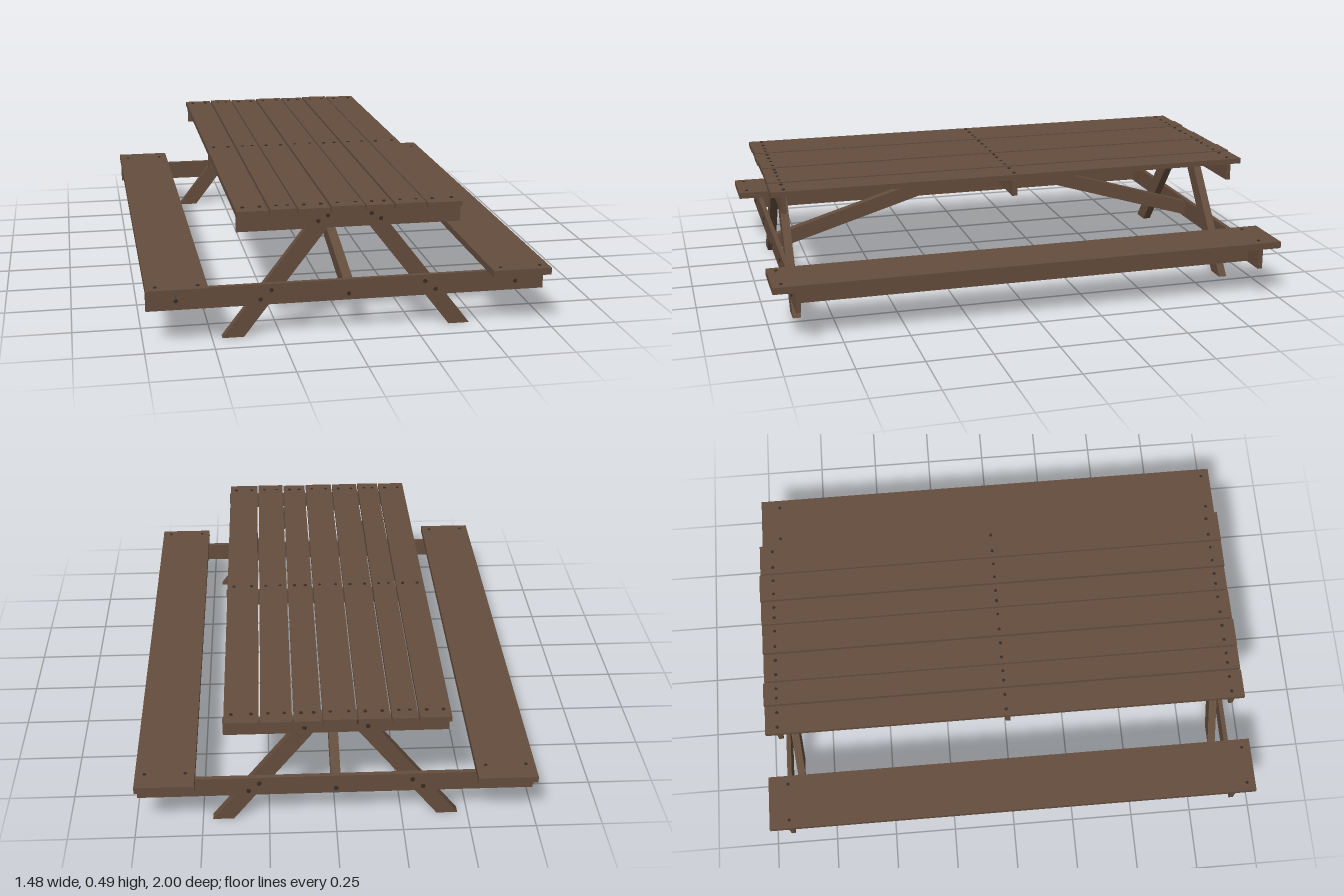
import * as THREE from 'three';

export function createModel() {
  const model = new THREE.Group();
  const wood = new THREE.MeshStandardMaterial({ name: 'brown wood', color: 0x644d3d });
  const iron = new THREE.MeshStandardMaterial({ name: 'dark nail heads', color: 0x3a2c23 });

  function add(name, geometry, material = wood) {
    const mesh = new THREE.Mesh(geometry, material);
    mesh.name = name;
    model.add(mesh);
    return mesh;
  }

  // Box given by its limits on each axis
  function board(name, x0, x1, y0, y1, z0, z1) {
    add(name, new THREE.BoxGeometry(x1 - x0, y1 - y0, z1 - z0))
      .position.set((x0 + x1) / 2, (y0 + y1) / 2, (z0 + z1) / 2);
  }

  // Flat outline extruded along z from zero
  function slab(points, depth) {
    const shape = new THREE.Shape(points.map(([x, y]) => new THREE.Vector2(x, y)));
    return new THREE.ExtrudeGeometry(shape, { depth, bevelEnabled: false });
  }

  const nailGeometry = new THREE.CylinderGeometry(0.006, 0.007, 0.006, 8);
  const boltGeometry = new THREE.CylinderGeometry(0.007, 0.009, 0.01, 10).rotateX(Math.PI / 2);
  const nail = (x, y, z) => add('nail', nailGeometry, iron).position.set(x, y, z);

  // Table top: seven planks of slightly uneven width and length
  const planks = [
    [-0.413, -0.298, -0.968, 0.955], [-0.292, -0.198, -0.972, 0.953],
    [-0.192, -0.077, -0.968, 0.955], [-0.071, 0.049, -0.970, 0.951],
    [0.055, 0.154, -0.973, 0.950], [0.160, 0.273, -0.976, 0.953],
    [0.279, 0.405, -0.972, 0.955],
  ];
  planks.forEach(([x0, x1, z0, z1], i) => {
    board('tablePlank', x0, x1, 0.468, 0.489 + (i % 2) * 0.002, z0, z1);
    for (const z of [-0.92, 0.01 - 0.015, 0.905])
      for (const x of [x0 + 0.027, x1 - 0.027]) nail(x, 0.49, z);
  });

  // Benches, each with a stiffening rail underneath
  for (const s of [-1, 1]) {
    const c = s * 0.63;
    board('benchSeat', c - 0.11, c + 0.11, 0.205, 0.231, -1, 1);
    board('benchRail', c - 0.018, c + 0.018, 0.13, 0.205, -0.907, 0.9);
    for (const z of [-0.92, 0.965])
      for (const dx of [-0.075, 0.075]) nail(c + dx, 0.231, z);
  }

  // Middle cross beam under the table top
  board('middleTableBeam', -0.41, 0.41, 0.405, 0.468, -0.01, 0.01);

  // End frames: cross beams outside, slanted legs inside
  const legOutline = [[0.463, 0], [0.103, 0.468], [0.024, 0.468], [0.384, 0]];
  const bolts = [[0.63, 0.16], [0.63, 0.183], [0.285, 0.18], [0.325, 0.147], [0.08, 0.45], [0.115, 0.43]];
  for (const [dir, face] of [[1, 0.9], [-1, -0.907]]) {
    const outer = face + dir * 0.018;
    const [z0, z1] = [Math.min(face, outer), Math.max(face, outer)];
    board('seatBeam', -0.738, 0.738, 0.126, 0.204, z0, z1);
    board('tableBeam', -0.41, 0.41, 0.404, 0.468, z0, z1);
    for (const s of [-1, 1]) {
      const outline = legOutline.map(([x, y]) => [s * x, y]);
      add('leg', slab(outline, 0.032)).position.z = dir > 0 ? face - 0.032 : face;
      for (const [x, y] of bolts) add('bolt', boltGeometry, iron).position.set(s * x, y, outer);
    }
    add('bolt', boltGeometry, iron).position.set(0, 0.15, outer);

    // Diagonal brace from the seat beam up to the middle of the table
    const reach = Math.abs(face);
    const brace = slab([[0, 0.41], [reach, 0.137], [reach, 0.198], [0, 0.468]], 0.036);
    brace.translate(0, 0, -0.018).rotateY(-dir * Math.PI / 2);
    add('diagonalBrace', brace);
  }

  return model;
}
